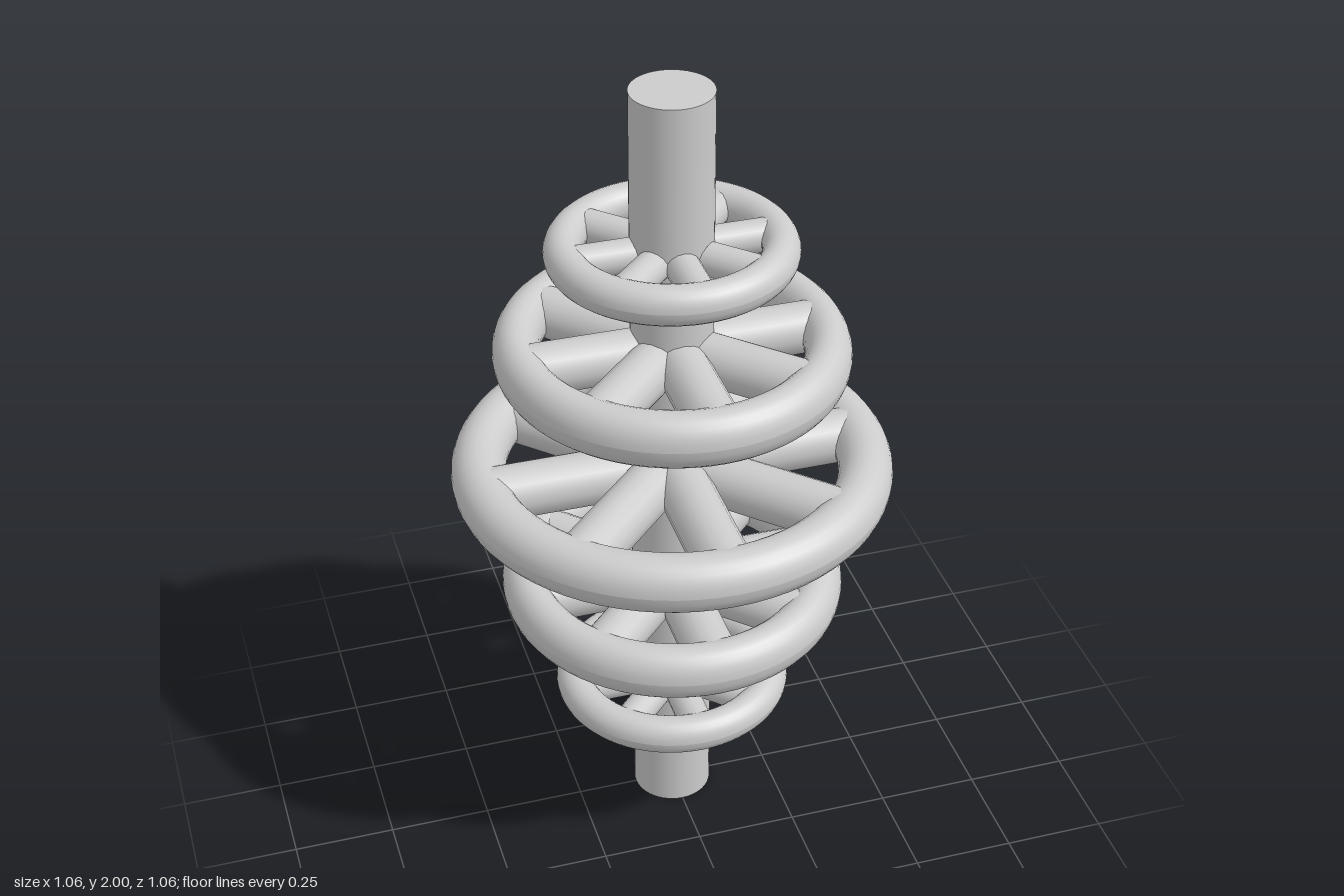
import * as THREE from 'three';

const grey = new THREE.MeshStandardMaterial({ color: 0xcccccc });
grey.name = 'plain grey';

// Ring with a slightly oval path and an oval cross-section
function ringGeometry(outerX, outerZ, halfWidth, halfHeight) {
  const profile = [];
  for (let i = 0; i <= 24; i++) {
    const a = (i / 24) * Math.PI * 2;
    profile.push(new THREE.Vector2(outerX - halfWidth + halfWidth * Math.cos(a), halfHeight * Math.sin(a)));
  }
  const geometry = new THREE.LatheGeometry(profile, 72);
  geometry.scale(1, 1, outerZ / outerX);
  return geometry;
}

// Ring on eight round spokes
function spokedWheel(name, y, { outerX, outerZ, halfWidth, halfHeight, spokeRadius }) {
  const wheel = new THREE.Group();
  wheel.name = name;
  wheel.position.y = y;

  const ring = new THREE.Mesh(ringGeometry(outerX, outerZ, halfWidth, halfHeight), grey);
  ring.name = 'ring';
  wheel.add(ring);

  const length = (outerX + outerZ) / 2 - halfWidth;
  const spokeGeometry = new THREE.CylinderGeometry(spokeRadius, spokeRadius, length, 16);
  spokeGeometry.rotateZ(-Math.PI / 2);
  spokeGeometry.translate(length / 2, 0, 0);
  for (let i = 0; i < 8; i++) {
    const spoke = new THREE.Mesh(spokeGeometry, grey);
    spoke.name = 'spoke';
    spoke.rotation.y = (i * Math.PI) / 4;
    wheel.add(spoke);
  }
  return wheel;
}

export function createModel() {
  const model = new THREE.Group();
  model.name = 'wheel column';

  // Central shaft
  const shaft = new THREE.Mesh(new THREE.CylinderGeometry(0.098, 0.098, 2, 48), grey);
  shaft.name = 'shaft';
  shaft.position.y = 1;
  model.add(shaft);

  // Wheels, mirrored above and below the large middle one
  const small = { outerX: 0.295, outerZ: 0.288, halfWidth: 0.045, halfHeight: 0.048, spokeRadius: 0.041 };
  const medium = { outerX: 0.42, outerZ: 0.434, halfWidth: 0.056, halfHeight: 0.068, spokeRadius: 0.063 };
  const large = { outerX: 0.532, outerZ: 0.532, halfWidth: 0.066, halfHeight: 0.07, spokeRadius: 0.067 };
  model.add(spokedWheel('middleWheel', 1.002, large));
  for (const [side, sign] of [['upper', 1], ['lower', -1]]) {
    model.add(spokedWheel(side + 'MediumWheel', 1 + sign * 0.333, medium));
    model.add(spokedWheel(side + 'SmallWheel', 1 + sign * 0.625 * (sign > 0 ? 0.96 : 1.035), small));
  }
  return model;
}
